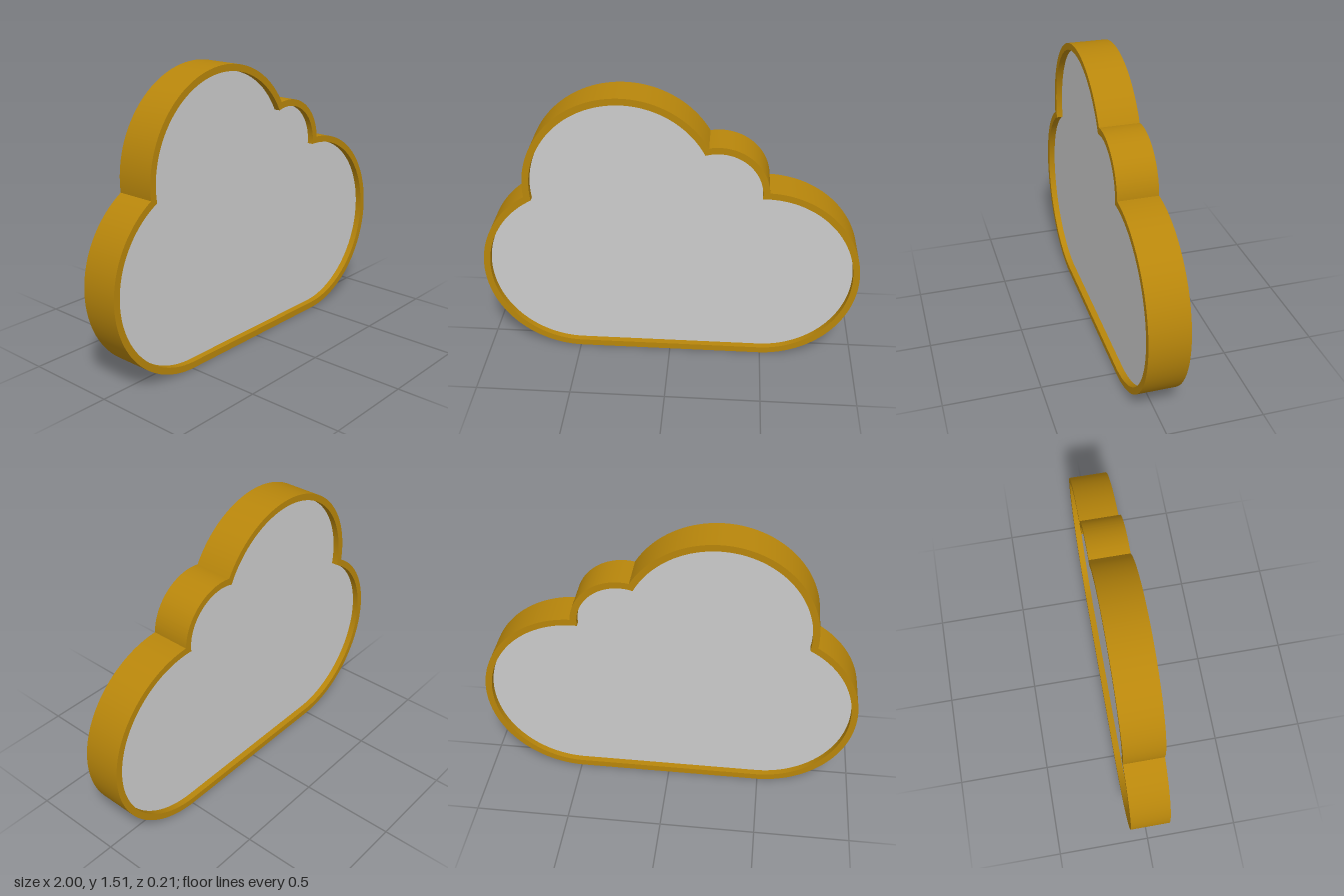
import * as THREE from 'three';
import { toCreasedNormals } from 'three/addons/utils/BufferGeometryUtils.js';

// Lobes of the cloud, counter-clockwise from the lower right: x, y, radius
const LOBES = [
  [0.49, 0.51, 0.51],
  [0.245, 1.005, 0.26],
  [-0.245, 1.0, 0.51],
  [-0.49, 0.51, 0.51],
];
const RIM = 0.035;
const DEPTH = 0.206;
const PANEL_DEPTH = 0.138;

// Outer crossing point of two neighbouring lobes
function crossing([ax, ay, ar], [bx, by, br]) {
  const dx = bx - ax, dy = by - ay, d = Math.hypot(dx, dy);
  const along = (ar * ar - br * br + d * d) / (2 * d);
  const out = Math.sqrt(ar * ar - along * along);
  return [ax + (dx * along + dy * out) / d, ay + (dy * along - dx * out) / d];
}

// Cloud outline, drawn in by an inset
function trace(path, inset) {
  const lobes = LOBES.map(([x, y, r]) => [x, y, r - inset]);
  lobes.forEach((lobe, i) => {
    const [x, y, r] = lobe;
    const angleTo = (p) => Math.atan2(p[1] - y, p[0] - x);
    const start = i === 0 ? -Math.PI / 2 : angleTo(crossing(lobes[i - 1], lobe));
    const end = i === lobes.length - 1 ? Math.PI * 1.5 : angleTo(crossing(lobe, lobes[i + 1]));
    path.absarc(x, y, r, start, end, false);
  });
  path.closePath();
  return path;
}

function slab(name, shape, depth, color) {
  const extruded = new THREE.ExtrudeGeometry(shape, { depth, bevelEnabled: false, curveSegments: 48 });
  extruded.translate(0, 0, -depth / 2);
  const mesh = new THREE.Mesh(toCreasedNormals(extruded, 0.5), new THREE.MeshStandardMaterial({ color }));
  mesh.name = name;
  return mesh;
}

export function createModel() {
  const group = new THREE.Group();
  group.name = 'cloud';

  // Raised rim around the edge
  const rim = trace(new THREE.Shape(), 0);
  rim.holes.push(trace(new THREE.Path(), RIM));
  group.add(slab('rim', rim, DEPTH, 0xb8860b));

  // Panel set back from the rim on both faces
  group.add(slab('panel', trace(new THREE.Shape(), RIM), PANEL_DEPTH, 0xcccccc));
  return group;
}
